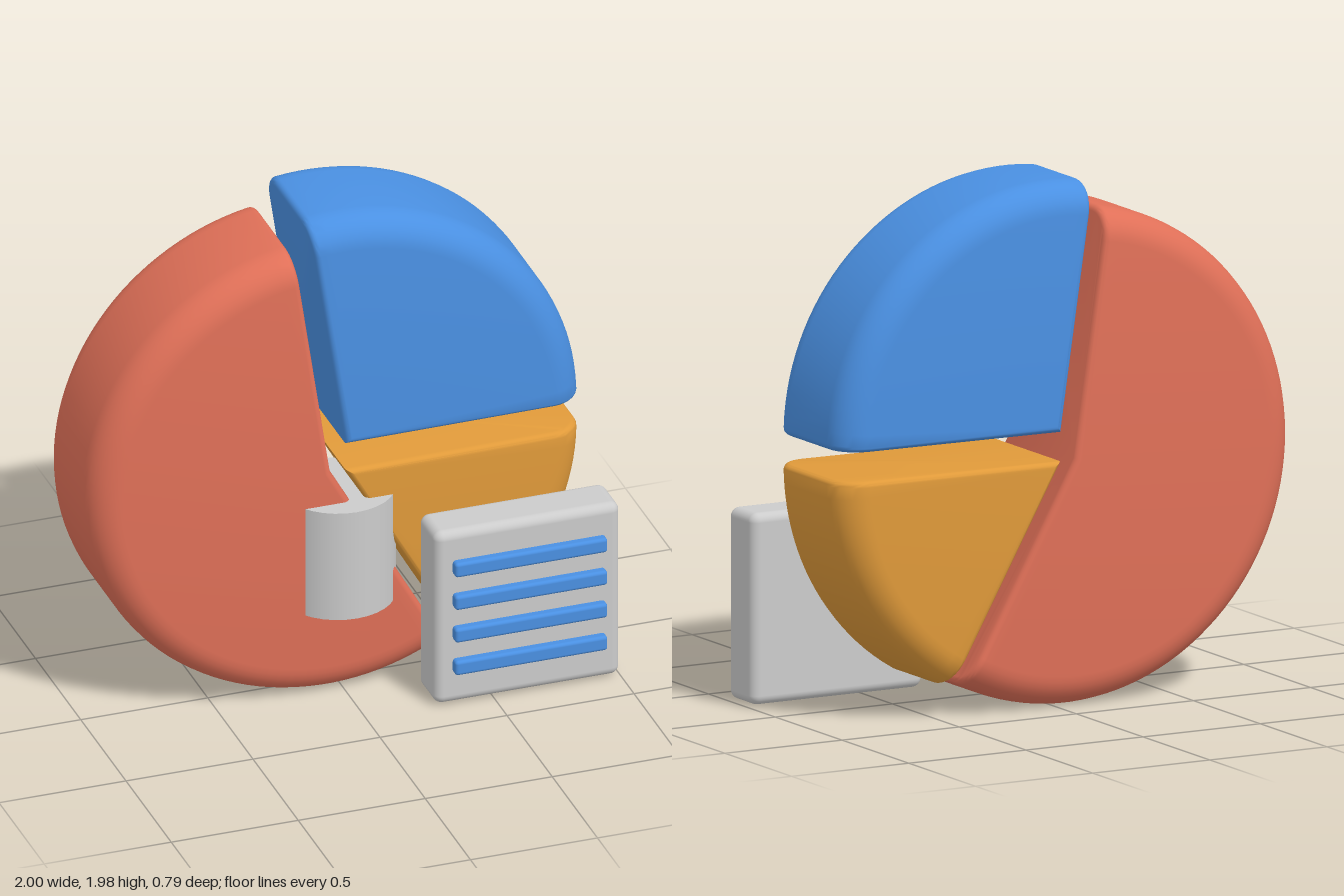
import * as THREE from 'three';
import { toCreasedNormals } from 'three/addons/utils/BufferGeometryUtils.js';
import { RoundedBoxGeometry } from 'three/addons/geometries/RoundedBoxGeometry.js';

const BLUE = 0x4a90e2, RED = 0xe07058, ORANGE = 0xe09a3a, GREY = 0xcccccc;
const RADIUS = 0.94, HALF_DEPTH = 0.265, RIM = 0.12, BEVEL = 0.025, Z = -0.133;

// Pie slice: cross-sections swept from one cut to the other, with a soft rim and small bevels on the cuts
function sliceGeometry(startDeg, endDeg) {
  const a0 = THREE.MathUtils.degToRad(startDeg), a1 = THREE.MathUtils.degToRad(endDeg);
  const mid = (a0 + a1) / 2, sinHalf = Math.sin((a1 - a0) / 2);

  const section = (angle, offset, inset) => {
    const tip = offset / sinHalf, h = HALF_DEPTH - inset, c = RIM - inset;
    const tx = Math.cos(mid) * tip, ty = Math.sin(mid) * tip;
    const points = [[tx, ty, -h]];
    for (let k = 0; k <= 17; k++) {
      const t = -Math.PI / 2 + (k < 9 ? k : k - 1) * Math.PI / 16;
      const r = RADIUS - inset - c + c * Math.cos(t);
      const z = (k < 9 ? -1 : 1) * (h - c) + c * Math.sin(t);
      points.push([Math.cos(angle) * r, Math.sin(angle) * r, z]);
    }
    points.push([tx, ty, h]);
    return points;
  };

  const sections = [], steps = 5, sweep = Math.ceil((endDeg - startDeg) / 3), edge = BEVEL / RADIUS;
  const bevel = (k, start) => {
    const t = k / steps * Math.PI / 2, offset = BEVEL * (1 - Math.cos(t));
    const angle = start ? a0 + offset / RADIUS : a1 - offset / RADIUS;
    sections.push(section(angle, offset, BEVEL * (1 - Math.sin(t))));
  };
  for (let k = 0; k < steps; k++) bevel(k, true);
  for (let k = 0; k <= sweep; k++) {
    sections.push(section(THREE.MathUtils.lerp(a0 + edge, a1 - edge, k / sweep), BEVEL, 0));
  }
  for (let k = steps - 1; k >= 0; k--) bevel(k, false);

  const n = sections[0].length, last = (sections.length - 1) * n, index = [];
  for (let i = 0; i < sections.length - 1; i++) {
    for (let j = 0; j < n - 1; j++) {
      const a = i * n + j, b = a + n;
      index.push(a, b, a + 1, b, b + 1, a + 1);
    }
  }
  // Flat cut faces
  for (let j = 1; j < n - 1; j++) index.push(0, j, j + 1, last, last + j + 1, last + j);

  const geometry = new THREE.BufferGeometry();
  geometry.setAttribute('position', new THREE.Float32BufferAttribute(sections.flat(2), 3));
  geometry.setIndex(index);
  return toCreasedNormals(geometry, 0.6);
}

export function createModel() {
  const model = new THREE.Group();
  model.name = 'pieChart';
  const add = (name, geometry, color, x, y, z) => {
    const mesh = new THREE.Mesh(geometry, new THREE.MeshStandardMaterial({ color }));
    mesh.name = name;
    mesh.position.set(x, y, z);
    model.add(mesh);
  };

  // Three separated slices
  add('largeSlice', sliceGeometry(98.5, 299.5), RED, -0.06, 0.945, Z);
  add('quarterSlice', sliceGeometry(0.4, 98.5), BLUE, 0, 1.05, Z);
  add('smallSlice', sliceGeometry(-60.3, 0.4), ORANGE, 0, 0.94, Z);

  // Upright cylinder, partly sunk into the slices
  add('cylinder', new THREE.CylinderGeometry(0.217, 0.217, 0.45, 32), GREY, 0.01, 0.585, 0.001);

  // Legend panel with four raised bars
  add('legendPanel', new RoundedBoxGeometry(0.73, 0.725, 0.19, 5, 0.035), GREY, 0.632, 0.377, 0.268);
  for (let i = 0; i < 4; i++) {
    add('legendBar' + (i + 1), new RoundedBoxGeometry(0.6, 0.06, 0.06, 3, 0.013), BLUE, 0.635, 0.59 - i * 0.138, 0.367);
  }
  return model;
}
